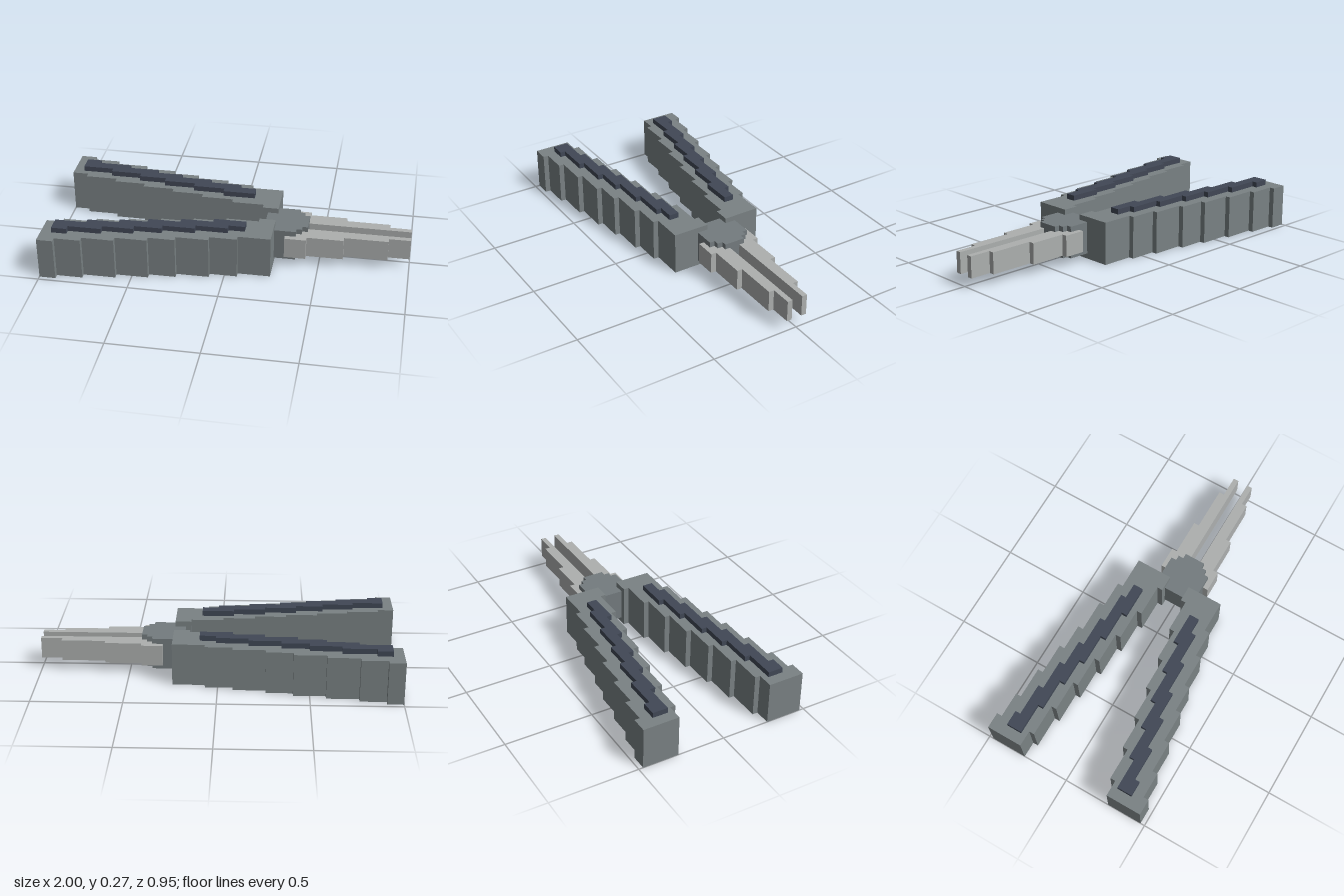
import * as THREE from 'three';

const steel = new THREE.MeshStandardMaterial({ name: 'handle grey', color: 0x7a8284 });
const pivotSteel = new THREE.MeshStandardMaterial({ name: 'pivot grey', color: 0x747c7f });
const pale = new THREE.MeshStandardMaterial({ name: 'pale jaw steel', color: 0xadb0af });
const navy = new THREE.MeshStandardMaterial({ name: 'dark grip blue', color: 0x414856 });

// Staircase edge in plan: z starts at zStart and drops by 0.03 after each x in ends.
function stairs(xStart, zStart, ends) {
  const pts = [];
  let x = xStart;
  ends.forEach((end, i) => {
    const z = zStart - 0.03 * i;
    pts.push([x, z], [end, z]);
    x = end;
  });
  return pts;
}

// Extrude a plan outline of [x, z] points between two heights.
function slab(name, outline, y0, y1, material, side = 1) {
  const shape = new THREE.Shape(outline.map(([x, z]) => new THREE.Vector2(x, -z * side)));
  const geo = new THREE.ExtrudeGeometry(shape, { depth: y1 - y0, bevelEnabled: false });
  geo.rotateX(-Math.PI / 2).translate(0, y0, 0);
  const mesh = new THREE.Mesh(geo, material);
  mesh.name = name;
  return mesh;
}

const band = (outer, inner) => [...outer, ...inner.slice().reverse()];

export function createModel() {
  const model = new THREE.Group();
  model.name = 'pliers';

  const handle = band(
    stairs(-1, 0.475, [-0.91, -0.765, -0.587, -0.41, -0.262, -0.082, 0.07, 0.25]),
    stairs(-1, 0.27, [-0.91, -0.73, -0.555, -0.378, -0.2, -0.02, 0.16, 0.25]));
  const grip = band(
    stairs(-0.94, 0.388, [-0.855, -0.67, -0.497, -0.345, -0.167, 0.01, 0.1]),
    stairs(-0.94, 0.302, [-0.765, -0.59, -0.435, -0.257, -0.08, 0.1]));
  const jaw = band(
    stairs(0.31, 0.15, [0.43, 0.635, 0.88, 1]),
    [[0.31, 0.03], [1, 0.03]]);

  // Mirrored halves
  for (const [side, label] of [[1, 'front'], [-1, 'back']]) {
    model.add(
      slab(label + 'Handle', handle, 0, 0.24, steel, side),
      slab(label + 'Grip', grip, 0.24, 0.27, navy, side),
      slab(label + 'Jaw', jaw, 0.06, 0.18, pale, side));
  }

  // Stepped pivot disc, one quarter repeated around its centre
  const quarter = [[0.12, 0.06], [0.09, 0.06], [0.09, 0.09], [0.06, 0.09], [0.06, 0.12]];
  const disc = [];
  for (let i = 0; i < 4; i++) {
    const c = [1, 0, -1, 0][i], s = [0, 1, 0, -1][i];
    for (const [x, z] of quarter) disc.push([0.31 + x * c - z * s, x * s + z * c]);
  }
  model.add(slab('pivot', disc, 0.03, 0.21, pivotSteel));

  return model;
}
